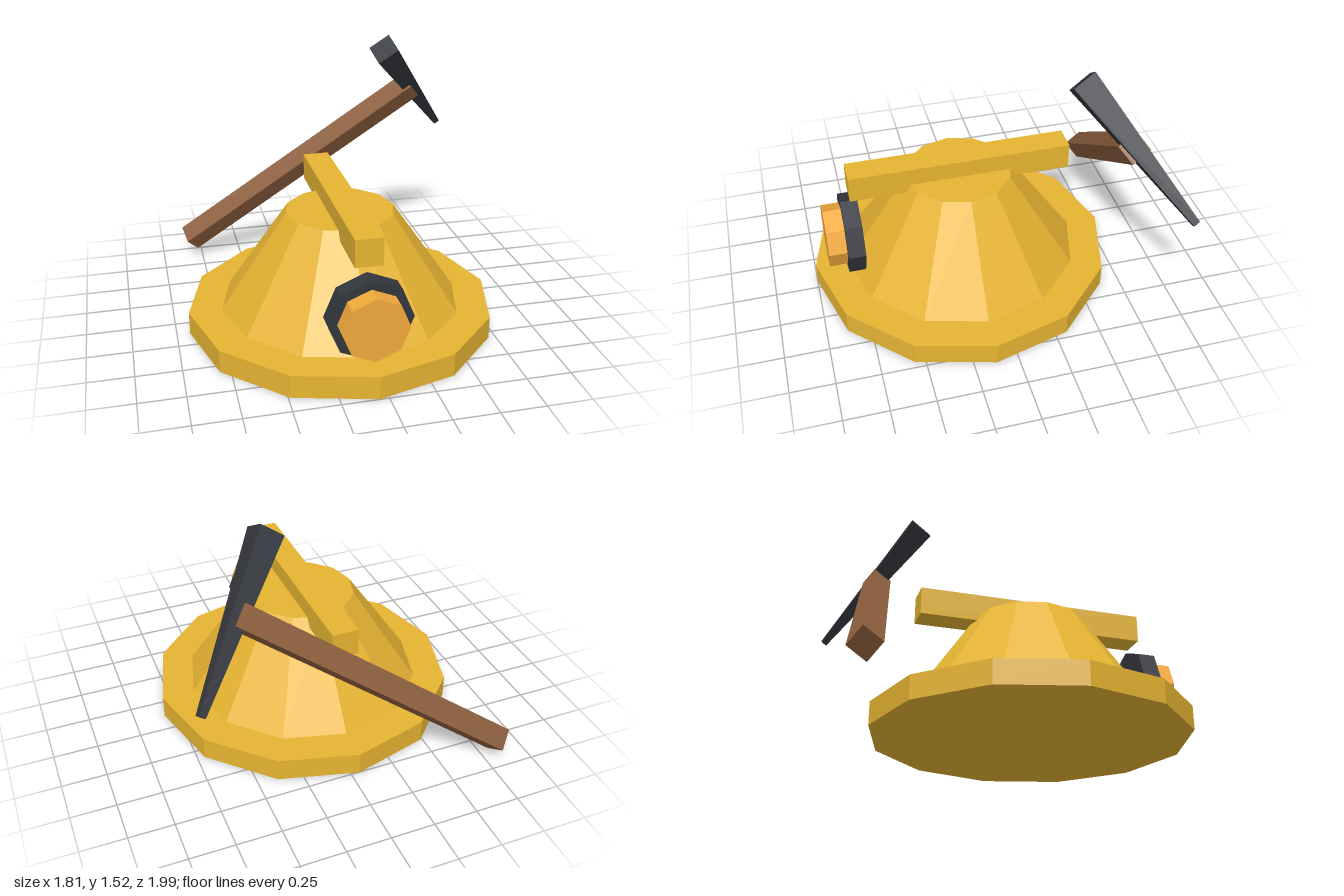
import * as THREE from 'three';

const material = (color) => new THREE.MeshStandardMaterial({ color, flatShading: true });

function addPart(parent, name, geometry, mat, x, y, z) {
  const mesh = new THREE.Mesh(geometry, mat);
  mesh.name = name;
  mesh.position.set(x, y, z);
  parent.add(mesh);
  return mesh;
}

export function createModel() {
  const yellow = material(0xe6b432);
  const orange = material(0xf2a93b);
  const iron = material(0x33363d);
  const wood = material(0x8b5e3c);
  const model = new THREE.Group();

  // Helmet: brim, tapered crown and ridge bar
  const helmet = new THREE.Group();
  helmet.name = 'helmet';
  helmet.position.set(-0.05, 0, 0.123);
  model.add(helmet);
  addPart(helmet, 'brim', new THREE.CylinderGeometry(0.876, 0.876, 0.13, 12), yellow, 0, 0.065, 0);
  addPart(helmet, 'crown', new THREE.CylinderGeometry(0.31, 0.69, 0.558, 12), yellow, 0, 0.407, 0);
  addPart(helmet, 'ridge', new THREE.BoxGeometry(0.152, 0.154, 1.286), yellow, 0, 0.712, 0);

  // Lamp on the front of the helmet
  const lampPart = (name, radius, back, front, mat) => {
    const geometry = new THREE.CylinderGeometry(radius, radius, front - back, 8).rotateX(Math.PI / 2);
    addPart(helmet, name, geometry, mat, 0, 0.351, (back + front) / 2 - 0.123);
  };
  lampPart('lampHousing', 0.231, 0.718, 0.817, iron);
  lampPart('lampLens', 0.18, 0.817, 0.922, orange);

  // Pickaxe: local y runs up the handle, local x along the head to its tip
  const pickaxe = new THREE.Group();
  pickaxe.name = 'pickaxe';
  const up = new THREE.Vector3(1.42, 1.03, 0.256).normalize();
  const side = new THREE.Vector3(0.535, -0.67, -0.51).cross(up).normalize();
  const along = new THREE.Vector3().crossVectors(up, side);
  pickaxe.quaternion.setFromRotationMatrix(new THREE.Matrix4().makeBasis(along, up, side));
  pickaxe.position.set(-0.825, 0.12, -0.912);
  model.add(pickaxe);

  const length = 1.773;
  addPart(pickaxe, 'pickHandle', new THREE.BoxGeometry(0.122, length, 0.122), wood, 0, length / 2, 0);

  // Head narrows from a square butt to a small tip
  const headGeometry = new THREE.BoxGeometry(0.947, 0.14, 0.14);
  const p = headGeometry.attributes.position;
  for (let i = 0; i < p.count; i++) {
    if (p.getX(i) > 0) p.setXYZ(i, p.getX(i), p.getY(i) * 0.27, p.getZ(i) * 0.27);
  }
  headGeometry.computeVertexNormals();
  const head = addPart(pickaxe, 'pickHead', headGeometry, iron, 0.036, 1.767, -0.005);
  head.rotation.z = -0.03;

  return model;
}
